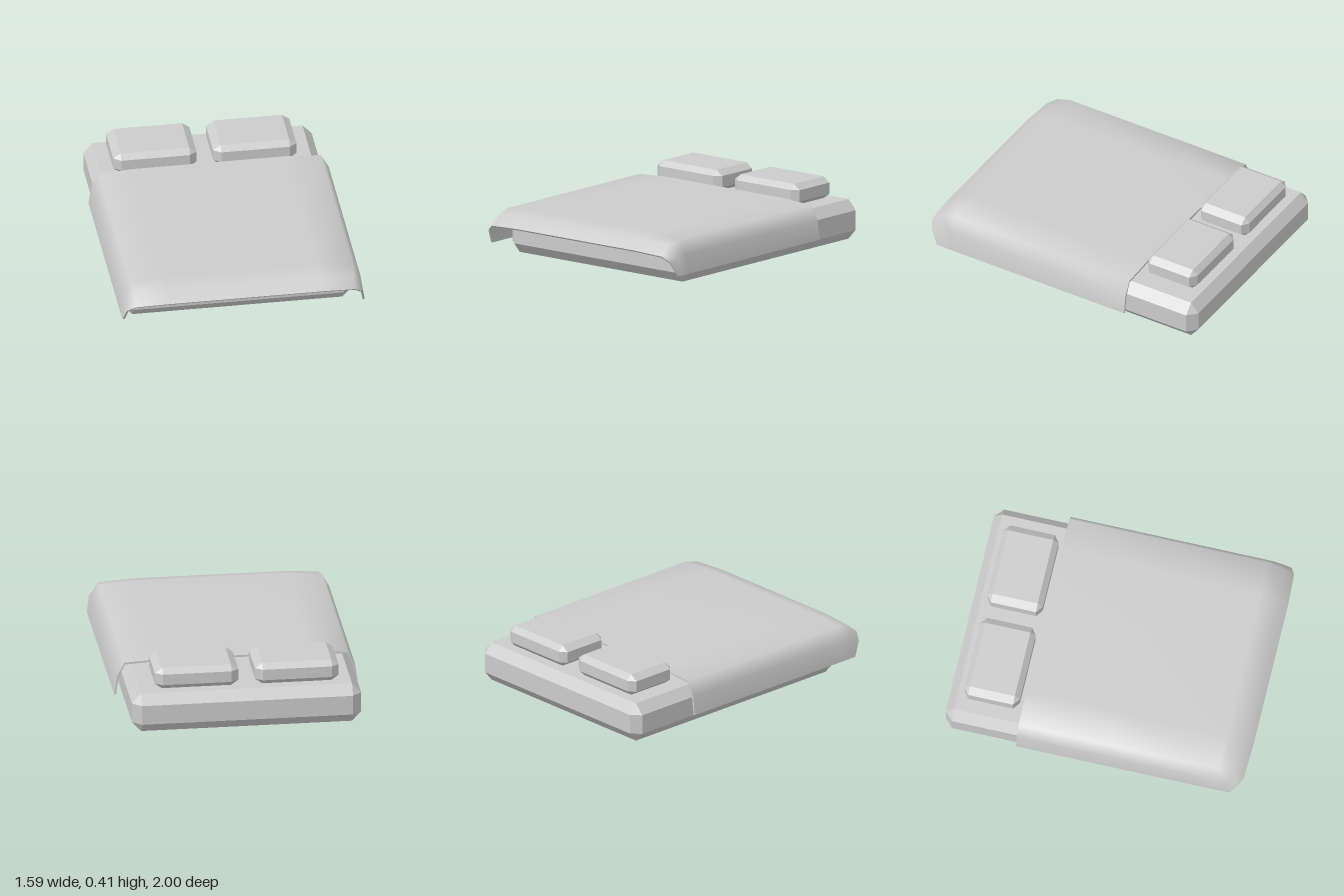
import * as THREE from 'three';
import { ConvexGeometry } from 'three/addons/geometries/ConvexGeometry.js';

const flat = () => new THREE.MeshStandardMaterial({ color: 0xcccccc, flatShading: true });

// Box with every edge and corner chamfered; min, max and bevel are [x, y, z]
function chamferBox(name, min, max, bevel) {
  const h = min.map((v, i) => (max[i] - v) / 2);
  const points = [];
  for (const sx of [-1, 1]) for (const sy of [-1, 1]) for (const sz of [-1, 1]) {
    const s = [sx, sy, sz];
    for (let axis = 0; axis < 3; axis++) {
      points.push(new THREE.Vector3(...s.map((d, i) => d * (h[i] - (i === axis ? 0 : bevel[i])))));
    }
  }
  const mesh = new THREE.Mesh(new ConvexGeometry(points), flat());
  mesh.position.set(...min.map((v, i) => v + h[i]));
  mesh.name = name;
  return mesh;
}

function meshGeometry(points, index) {
  const g = new THREE.BufferGeometry();
  g.setAttribute('position', new THREE.Float32BufferAttribute(points.flatMap(p => p.toArray()), 3));
  g.setIndex(index);
  g.computeVertexNormals();
  return g;
}

// Thin draped cover: half cross-sections mirrored in x, given a small thickness
function createBlanket() {
  const side = z => [[0.5, 0.317, z], [0.73, 0.303, z], [0.78, 0.21, z], [0.797, 0.083, z]];
  const sections = [
    side(-0.51),
    side(0.1),
    side(0.82),
    [[0.5, 0.293, 0.92], [0.72, 0.28, 0.915], [0.778, 0.2, 0.89], [0.797, 0.083, 0.865]],
    [[0.5, 0.226, 1.0], [0.72, 0.216, 0.99], [0.775, 0.175, 0.96], [0.795, 0.083, 0.91]],
  ];
  const cols = 8, rows = sections.length;
  const outer = sections.flatMap(s => [
    ...s.slice().reverse().map(([x, y, z]) => new THREE.Vector3(-x, y, z)),
    ...s.map(p => new THREE.Vector3(...p)),
  ]);
  const top = [], under = [];
  for (let j = 0; j < rows - 1; j++) for (let i = 0; i < cols - 1; i++) {
    const a = j * cols + i, b = a + cols;
    top.push(a, b, a + 1, a + 1, b, b + 1);
    under.push(a, a + 1, b, a + 1, b + 1, b);
  }
  const outerGeo = meshGeometry(outer, top);
  const normal = new THREE.Vector3();
  const inner = outer.map((p, k) => {
    normal.fromBufferAttribute(outerGeo.attributes.normal, k);
    const q = p.clone().addScaledVector(normal, -0.013);
    if (k < cols) q.z = p.z;
    return q;
  });

  // Hem joining the outer and inner surfaces around the border
  const loop = [];
  for (let j = 0; j < rows - 1; j++) loop.push(j * cols);
  for (let i = 0; i < cols - 1; i++) loop.push((rows - 1) * cols + i);
  for (let j = rows - 1; j > 0; j--) loop.push(j * cols + cols - 1);
  for (let i = cols - 1; i > 0; i--) loop.push(i);
  const n = loop.length, hem = [];
  for (let k = 0; k < n; k++) {
    const a = 2 * k, b = 2 * ((k + 1) % n);
    hem.push(a, a + 1, b, b, a + 1, b + 1);
  }
  const hemGeo = meshGeometry(loop.flatMap(k => [outer[k], inner[k]]), hem);

  const group = new THREE.Group();
  group.name = 'blanket';
  const smooth = new THREE.MeshStandardMaterial({ color: 0xcccccc });
  const add = (name, geo, mat) => {
    const mesh = new THREE.Mesh(geo, mat);
    mesh.name = name;
    group.add(mesh);
  };
  add('blanketTop', outerGeo, smooth);
  add('blanketLining', meshGeometry(inner, under), smooth);
  add('blanketHem', hemGeo, flat());
  return group;
}

export function createModel() {
  const bed = new THREE.Group();
  bed.name = 'bed';
  bed.add(chamferBox('mattress', [-0.763, 0, -1], [0.737, 0.263, 0.785], [0.06, 0.066, 0.055]));
  // Pillows sit slightly off centre, like the mattress
  [['rightPillow', -0.625], ['leftPillow', 0.031]].forEach(([name, x]) => {
    bed.add(chamferBox(name, [x, 0.262, -0.905], [x + 0.547, 0.406, -0.535], [0.048, 0.035, 0.035]));
  });
  bed.add(createBlanket());
  return bed;
}
